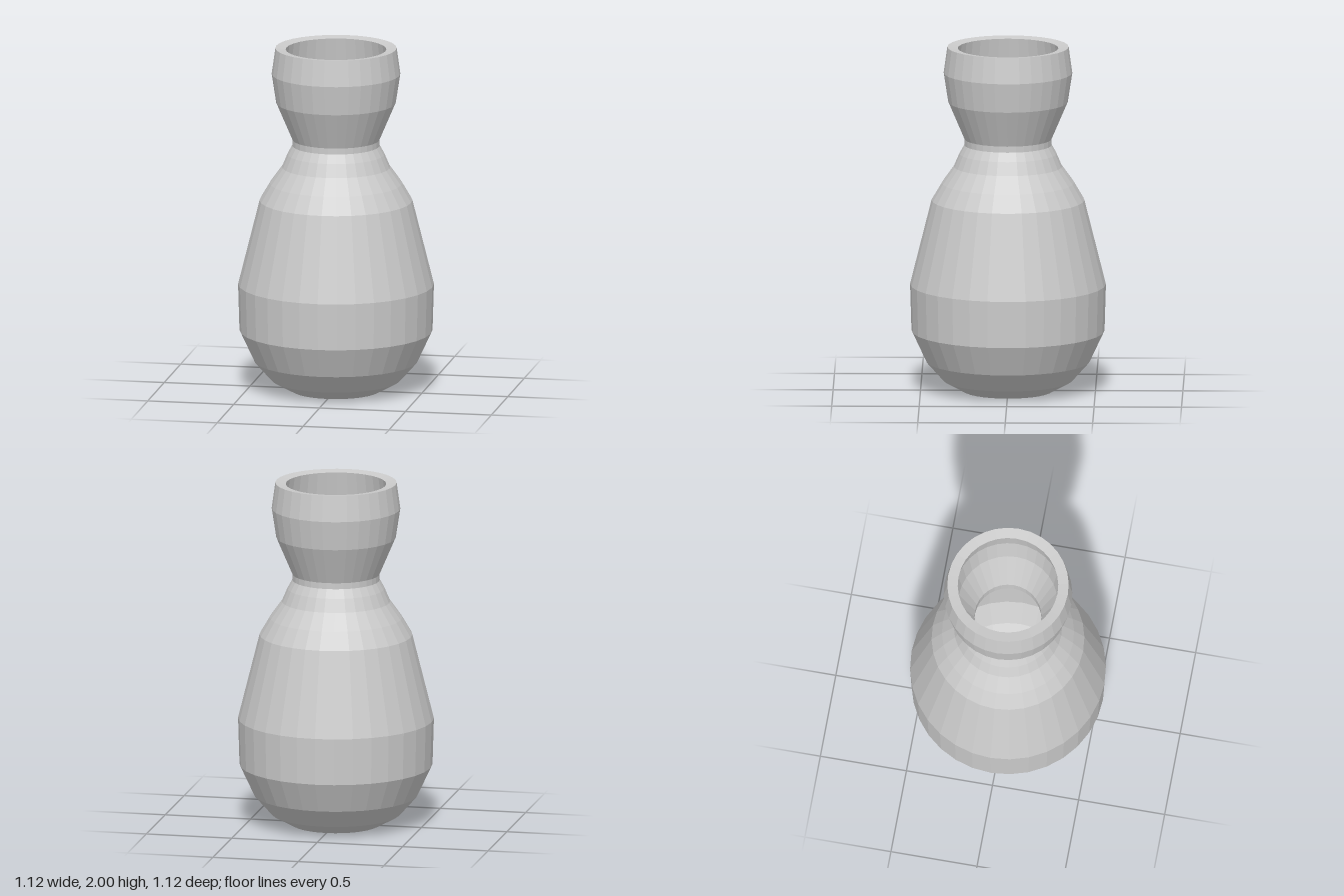
import * as THREE from 'three';

const SEGMENTS = 32;
const WALL = 0.06;

// Outer profile [radius, height], from the centre of the base to the lip
const OUTER = [
  [0, 0], [0.255, 0], [0.37, 0.063], [0.47, 0.175], [0.552, 0.35], [0.56, 0.62],
  [0.437, 1.11], [0.378, 1.21], [0.31, 1.305], [0.278, 1.38], [0.25, 1.43],
  [0.25, 1.465], [0.342, 1.68], [0.368, 1.85], [0.347, 2],
].map(([r, y]) => new THREE.Vector2(r, y));

// Moves each profile point inwards by the wall thickness, along its averaged normal
function insetProfile(points, thickness) {
  const normalOf = (a, b) => new THREE.Vector2(b.y - a.y, a.x - b.x).normalize();
  return points.map((p, i) => {
    if (i === 0) return new THREE.Vector2(0, p.y + thickness);
    const n = normalOf(points[i - 1], p);
    if (i < points.length - 1) n.add(normalOf(p, points[i + 1])).normalize();
    return p.clone().addScaledVector(n, -thickness);
  });
}

export function createModel() {
  const group = new THREE.Group();
  group.name = 'vase';
  const material = new THREE.MeshStandardMaterial({ color: 0xcccccc, flatShading: true });

  const addLathe = (name, points) => {
    const mesh = new THREE.Mesh(new THREE.LatheGeometry(points, SEGMENTS), material);
    mesh.name = name;
    group.add(mesh);
  };

  const inner = insetProfile(OUTER, WALL);
  inner[1].y = inner[0].y; // level floor

  addLathe('outerBody', OUTER);
  addLathe('rim', [OUTER.at(-1), inner.at(-1)]);
  addLathe('innerWall', inner.slice().reverse());

  return group;
}
